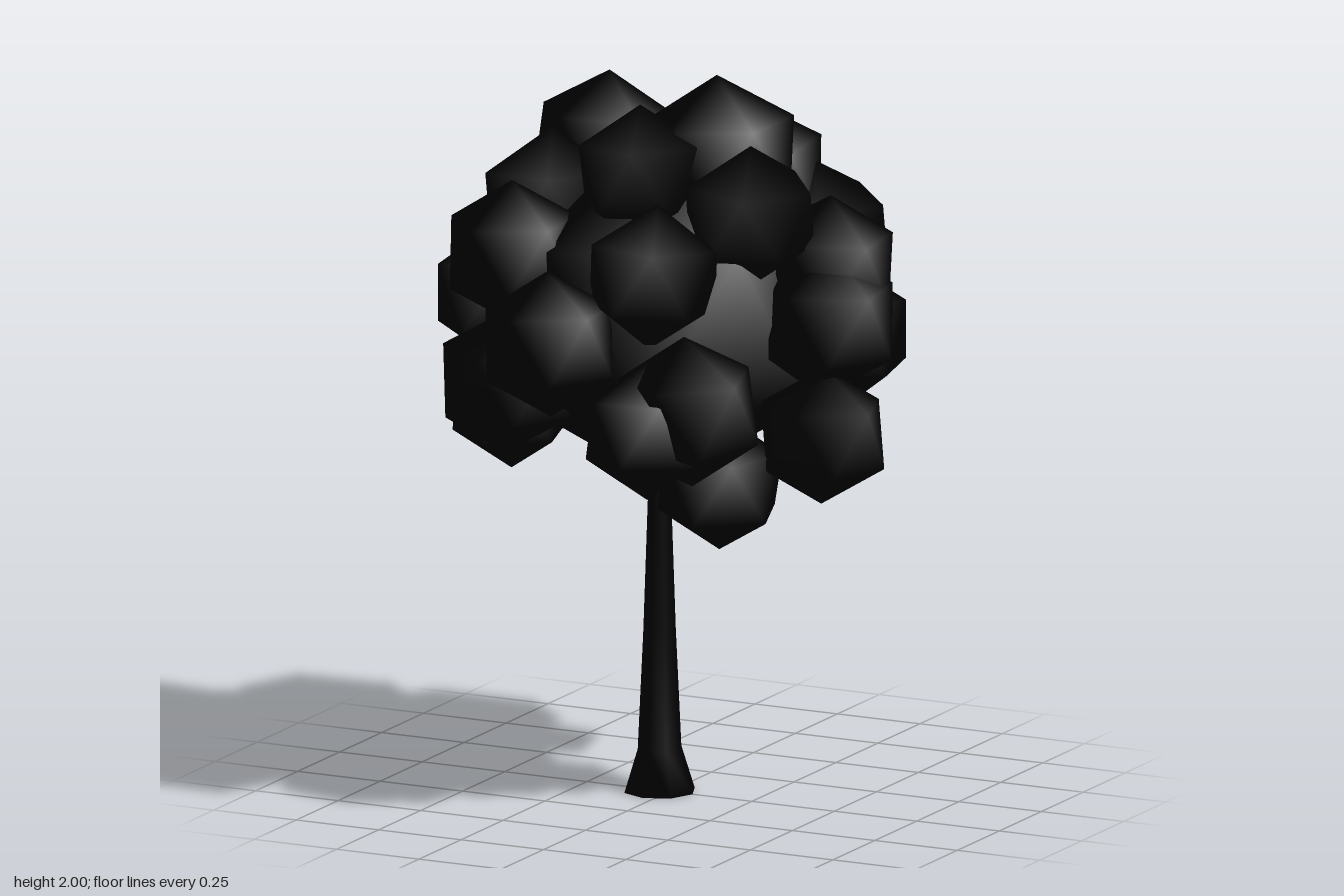
import * as THREE from 'three';

const black = new THREE.MeshStandardMaterial({ color: 0x000000 });

// Leaf clump: an icosahedron with its poles on the y axis and smooth normals
function clumpGeometry() {
  const g = new THREE.IcosahedronGeometry(1, 0);
  g.rotateZ(Math.atan(2 / (1 + Math.sqrt(5))));
  g.setAttribute('normal', g.attributes.position.clone());
  return g;
}

export function createModel() {
  const tree = new THREE.Group();
  tree.name = 'tree';

  // Trunk with a flared foot
  const profile = [[0, 0], [0.1, 0], [0.062, 0.12], [0.046, 0.45], [0.032, 0.85], [0.03, 1.1], [0, 1.1]]
    .map(([r, y]) => new THREE.Vector2(r, y));
  const trunk = new THREE.Mesh(new THREE.LatheGeometry(profile, 8), black);
  trunk.name = 'trunk';
  trunk.position.x = -0.03;
  tree.add(trunk);

  // Canopy clumps: x, y, z, radius
  const clumps = [
    // crown
    [0.14, 1.77, -0.03, 0.23], [-0.01, 1.75, 0.15, 0.19], [-0.28, 1.73, -0.16, 0.21],
    [0.31, 1.66, 0.13, 0.2], [0.08, 1.65, -0.37, 0.2], [-0.31, 1.62, 0.08, 0.21],
    // upper ring
    [-0.3, 1.54, 0.34, 0.2], [0.13, 1.52, 0.35, 0.2], [0.44, 1.49, -0.08, 0.2],
    [0.23, 1.48, -0.44, 0.21],
    // middle ring
    [-0.11, 1.34, 0.5, 0.2], [-0.46, 1.36, 0.1, 0.2], [0.47, 1.36, -0.01, 0.21],
    [-0.33, 1.41, -0.18, 0.23], [-0.14, 1.42, -0.46, 0.21], [0.38, 1.26, -0.27, 0.21],
    [0.06, 1.17, -0.475, 0.23],
    // lower ring
    [-0.51, 1.04, -0.16, 0.18], [-0.32, 1.18, 0.34, 0.2], [-0.42, 1.06, 0.12, 0.18],
    [0.24, 1.16, 0.36, 0.21], [0.15, 1.11, 0.42, 0.19],
    [0.5, 1.06, 0.07, 0.19], [0.25, 0.93, 0.19, 0.19], [-0.19, 0.97, -0.3, 0.17],
  ];
  const geometry = clumpGeometry();
  const canopy = new THREE.Group();
  canopy.name = 'canopy';
  clumps.forEach(([x, y, z, r], i) => {
    const clump = new THREE.Mesh(geometry, black);
    clump.name = 'leafClump' + (i + 1);
    clump.position.set(x, y, z);
    clump.scale.setScalar(r);
    clump.rotation.set(0.05 * Math.sin(i * 2.3), i * 1.9, 0.05 * Math.cos(i * 3.1));
    canopy.add(clump);
  });

  // Core filling the middle of the canopy
  const core = new THREE.Mesh(geometry, black);
  core.name = 'canopyCore';
  core.position.set(-0.02, 1.35, 0);
  core.scale.setScalar(0.5);
  canopy.add(core);
  tree.add(canopy);

  return tree;
}
